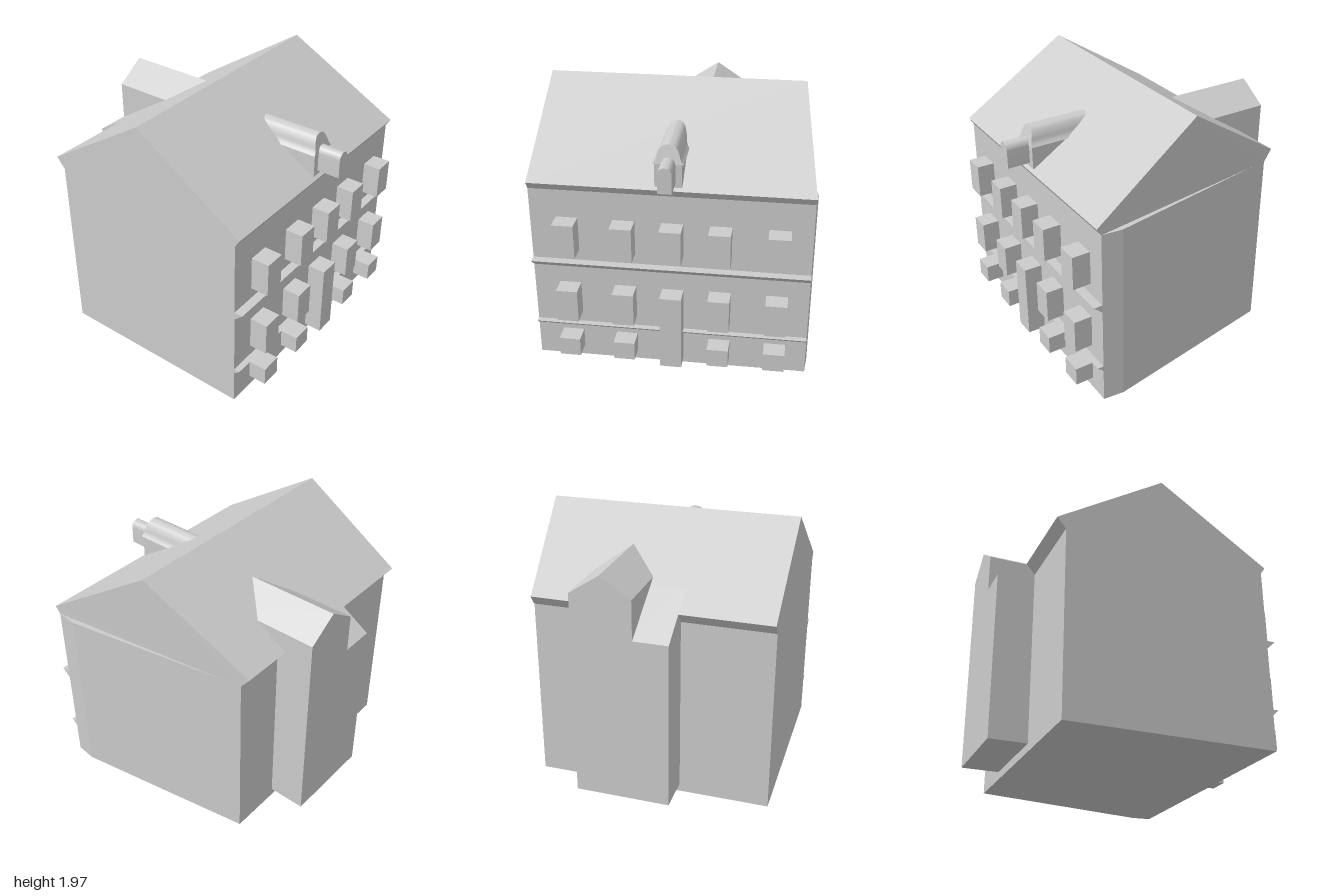
import * as THREE from 'three';
import { toCreasedNormals } from 'three/addons/utils/BufferGeometryUtils.js';

export function createModel() {
  const house = new THREE.Group();
  house.name = 'townHouse';
  const stone = new THREE.MeshStandardMaterial({ color: 0xcccccc });
  stone.name = 'paleGreyStone';

  const add = (name, geometry) => {
    const mesh = new THREE.Mesh(geometry, stone);
    mesh.name = name;
    house.add(mesh);
    return mesh;
  };
  const shapeOf = (pts) => new THREE.Shape(pts.map(([x, y]) => new THREE.Vector2(x, y)));
  const extrude = (shape, depth) =>
    new THREE.ExtrudeGeometry(shape, { depth, bevelEnabled: false, curveSegments: 10 });
  // Front outline [x, y] run from z0 to z1
  const alongZ = (shape, z0, z1) => extrude(shape, z1 - z0).translate(0, 0, z0);
  // Side outline [z, y] run from x0 to x1
  const alongX = (pts, x0, x1) =>
    extrude(shapeOf(pts.map(([z, y]) => [-z, y])), x1 - x0).rotateY(Math.PI / 2).translate(x0, 0, 0);
  const box = (name, x0, x1, y0, y1, z0, z1) =>
    add(name, new THREE.BoxGeometry(x1 - x0, y1 - y0, z1 - z0)
      .translate((x0 + x1) / 2, (y0 + y1) / 2, (z0 + z1) / 2));
  const moveVertices = (geometry, rule) => {
    const p = geometry.attributes.position;
    const v = new THREE.Vector3();
    for (let i = 0; i < p.count; i++) {
      rule(v.fromBufferAttribute(p, i));
      p.setXYZ(i, v.x, v.y, v.z);
    }
    geometry.computeVertexNormals();
    return geometry;
  };

  // Walls: slanted plan with a slim cut front corner
  const plan = [[-1, -0.815], [0.985, -0.815], [1, -0.66], [0.757, 0.72], [-1, 0.72]];
  add('walls', extrude(shapeOf(plan), 1.375).rotateX(-Math.PI / 2));

  // Main roof: gable with sloping soffits, its end trimmed to the slanted side
  const roof = alongX([
    [0.815, 1.375], [0.85, 1.43], [0.015, 1.965], [-0.785, 1.455], [-0.72, 1.375],
  ], -1, 1);
  add('mainRoof', moveVertices(roof, (v) => {
    if (v.x > 0) v.x = 0.883 + (v.z - 0.015) * (v.z > 0.015 ? 0.127 : 0.166);
  }));

  // Wedge-shaped string courses
  for (const [low, high, tip] of [[0.26, 0.3, 0.86], [0.765, 0.825, 0.88]]) {
    add('stringCourse', alongX([[0.8, low], [0.815, low], [tip, high], [0.8, high]], -1, 0.985));
  }

  // Projecting windows and door
  const columns = [-0.735, -0.33, 0.0125, 0.3525, 0.7575];
  const rows = [[0.085, 0.225], [0.385, 0.635], [0.91, 1.165]];
  rows.forEach(([y0, y1], r) => columns.forEach((x, c) => {
    if (c === 2 && r < 2) return;
    box('window', x - 0.077, x + 0.077, y0, y1, 0.8, 0.95);
  }));
  box('door', -0.065, 0.09, 0.05, 0.63, 0.8, 0.95);

  // Rear wing with its cross gable
  add('rearGableWing', alongZ(shapeOf([
    [-0.08, 0.06], [0.365, 0.06], [0.365, 1.61], [0.1425, 1.757], [-0.08, 1.61],
  ]), -1, -0.3));

  // Lower rear bay under the continued roof slope
  add('rearLeanTo', alongX([
    [-0.6, 0.06], [-0.6, 1.573], [-1, 1.318], [-1, 0.06],
  ], -0.335, -0.08));

  // Dormer box, bell-curved roof and arched window
  const cx = -0.01;
  box('dormerWalls', cx - 0.095, cx + 0.095, 1.45, 1.625, 0.4, 0.83);

  const half = new THREE.SplineCurve([
    [0.107, 1.62], [0.085, 1.65], [0.072, 1.695], [0.045, 1.737], [0, 1.752],
  ].map(([x, y]) => new THREE.Vector2(x, y))).getPoints(14);
  const bell = [
    ...half.map((p) => [cx + p.x, p.y]),
    ...half.slice(0, -1).reverse().map((p) => [cx - p.x, p.y]),
  ];
  const bellRoof = moveVertices(alongZ(shapeOf(bell), 0.3, 0.835), (v) => {
    if (v.z > 0.5) v.z -= 0.27 * (v.y - 1.62);
  });
  add('dormerRoof', toCreasedNormals(bellRoof, 0.6));

  const arch = new THREE.Shape();
  arch.moveTo(cx - 0.049, 1.48);
  arch.lineTo(cx + 0.049, 1.48);
  arch.lineTo(cx + 0.049, 1.617);
  arch.absarc(cx, 1.617, 0.049, 0, Math.PI, false);
  arch.lineTo(cx - 0.049, 1.48);
  add('dormerWindow', toCreasedNormals(alongZ(arch, 0.75, 1), 0.6));

  return house;
}
